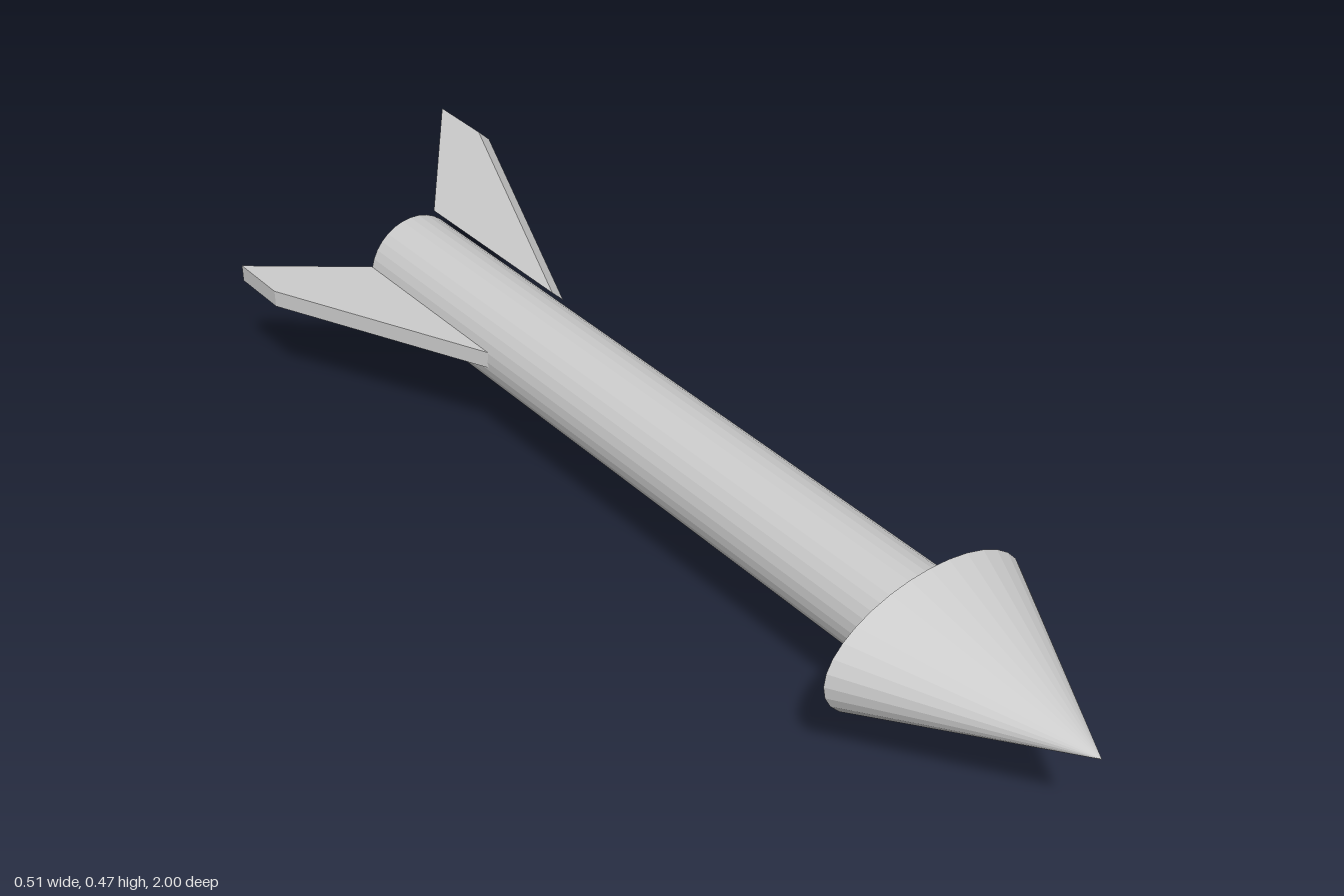
import * as THREE from 'three';

const material = new THREE.MeshStandardMaterial({ color: 0xcccccc, flatShading: true });
const AXIS_X = 0.036, AXIS_Y = 0.256;
const FIN_THICKNESS = 0.034;

// Swept plate: root and tip are [x, y] midpoints, tipFront/tipBack are z at the tip
function makeFin({ name, root, tip, tipFront, tipBack }) {
  const start = new THREE.Vector3(root[0], root[1], 0);
  const out = new THREE.Vector3(tip[0], tip[1], 0).sub(start);
  const span = out.length();
  out.normalize();

  const shape = new THREE.Shape([
    new THREE.Vector2(0, -0.45),
    new THREE.Vector2(0, -0.838),
    new THREE.Vector2(span, tipBack),
    new THREE.Vector2(span, tipFront),
  ]);
  const geometry = new THREE.ExtrudeGeometry(shape, { depth: FIN_THICKNESS, bevelEnabled: false });
  geometry.translate(0, 0, -FIN_THICKNESS / 2);

  // Shape x runs outward from the body, shape y runs along the body
  const along = new THREE.Vector3(0, 0, 1);
  const across = new THREE.Vector3().crossVectors(out, along);
  geometry.applyMatrix4(new THREE.Matrix4().makeBasis(out, along, across).setPosition(start));

  const fin = new THREE.Mesh(geometry, material);
  fin.name = name;
  return fin;
}

export function createModel() {
  const model = new THREE.Group();
  model.name = 'rocket';

  // Body tube
  const bodyGeometry = new THREE.CylinderGeometry(0.097, 0.097, 1.453, 32);
  bodyGeometry.rotateX(Math.PI / 2);
  const body = new THREE.Mesh(bodyGeometry, material);
  body.name = 'body';
  body.position.set(AXIS_X, AXIS_Y, -0.1115);
  model.add(body);

  // Wide, flattened nose cone
  const noseGeometry = new THREE.ConeGeometry(1, 0.385, 32);
  noseGeometry.rotateX(Math.PI / 2);
  noseGeometry.scale(0.217, 0.128, 1);
  const nose = new THREE.Mesh(noseGeometry, material);
  nose.name = 'noseCone';
  nose.position.set(AXIS_X, 0.254, 0.8075);
  model.add(nose);

  // Three tail fins
  const fins = [
    { name: 'rightFin', root: [-0.06, 0.261], tip: [-0.255, 0.261], tipFront: -0.88, tipBack: -1 },
    { name: 'upperLeftFin', root: [0.103, 0.336], tip: [0.229, 0.460], tipFront: -0.855, tipBack: -0.98 },
    { name: 'lowerLeftFin', root: [0.093, 0.176], tip: [0.204, 0.011], tipFront: -0.87, tipBack: -1 },
  ];
  for (const fin of fins) model.add(makeFin(fin));

  return model;
}
